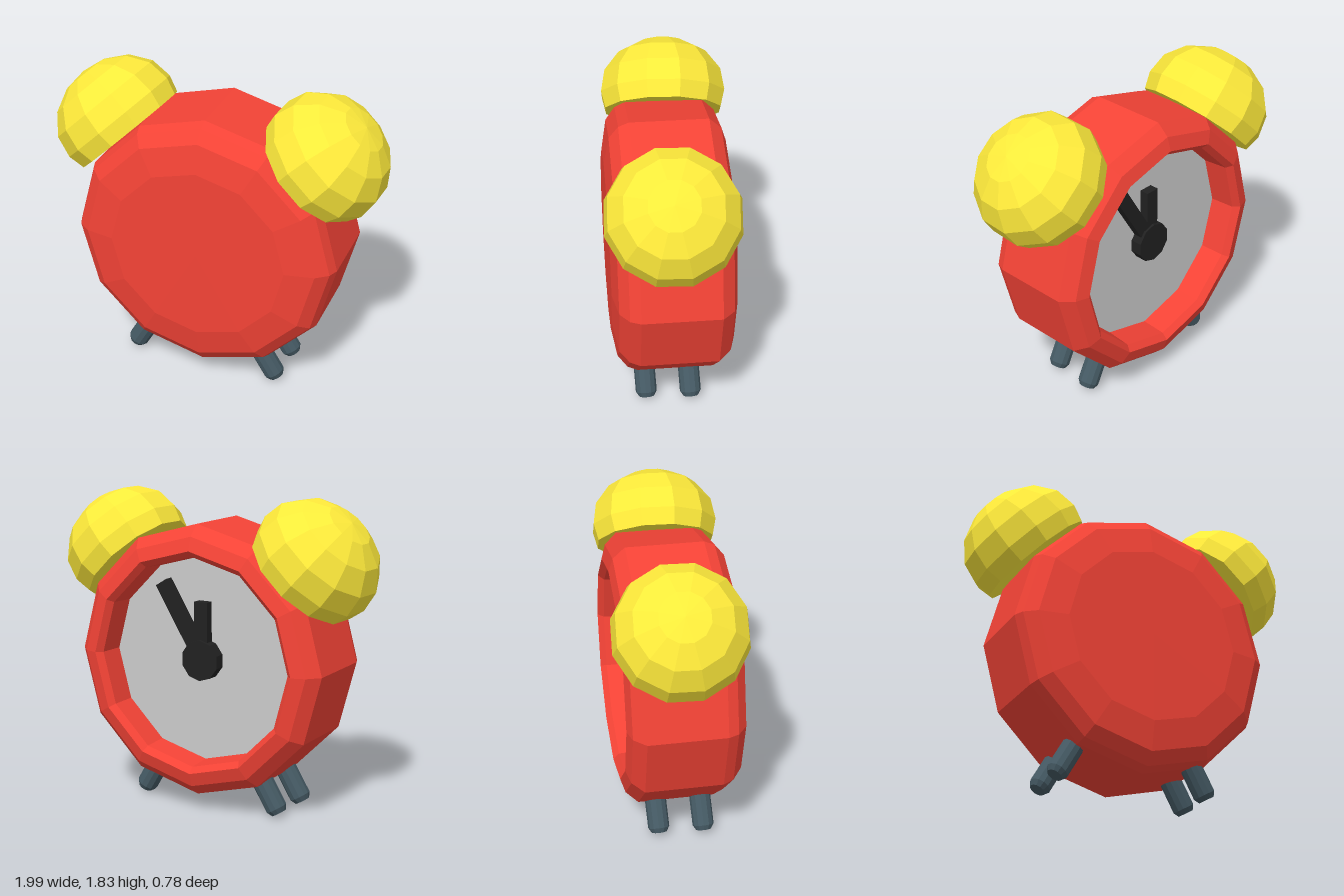
import * as THREE from 'three';

const mat = (color) => new THREE.MeshStandardMaterial({ color, flatShading: true });
const profile = (pts) => pts.map(([r, h]) => new THREE.Vector2(r, h));

function add(parent, name, geometry, material) {
  const mesh = new THREE.Mesh(geometry, material);
  mesh.name = name;
  parent.add(mesh);
  return mesh;
}

export function createModel() {
  const model = new THREE.Group();
  model.name = 'alarmClock';
  const red = mat(0xf44336), yellow = mat(0xffeb3b), steel = mat(0x455a64);
  const black = mat(0x212121), grey = mat(0xcccccc);

  // Clock body, turned slightly; the dial is on the -z side
  const clock = new THREE.Group();
  clock.name = 'clock';
  clock.position.y = 0.89;
  clock.rotation.y = 0.065;
  model.add(clock);

  // Twelve-sided case: recess, rim, drum and domed back
  const caseGeo = new THREE.LatheGeometry(profile([
    [0.605, -0.16], [0.615, -0.31], [0.65, -0.345], [0.73, -0.32], [0.795, -0.25],
    [0.795, 0.2], [0.77, 0.26], [0.7, 0.315], [0.53, 0.347], [0, 0.35],
  ]), 12).rotateX(Math.PI / 2);
  add(clock, 'case', caseGeo, red);

  const dial = add(clock, 'dial', new THREE.CircleGeometry(0.607, 12), grey);
  dial.rotation.y = Math.PI;
  dial.position.z = -0.16;

  // Hub and the two hands
  const hub = add(clock, 'hub', new THREE.CylinderGeometry(0.12, 0.12, 0.08, 10), black);
  hub.rotation.x = Math.PI / 2;
  hub.position.z = -0.19;
  for (const [name, length, angle] of [['minuteHand', 0.51, -0.55], ['hourHand', 0.34, 0]]) {
    const geo = new THREE.BoxGeometry(0.085, length, 0.06).translate(0, length / 2, 0);
    const hand = add(clock, name, geo, black);
    hand.rotation.z = angle;
    hand.position.z = -0.185;
  }

  // Bells: closed domes leaning outwards
  const bellGeo = new THREE.LatheGeometry(profile([
    [0, 0], [0.355, 0], [0.38, 0.1], [0.358, 0.23], [0.27, 0.345], [0.14, 0.415], [0, 0.435],
  ]), 12, Math.PI / 12);
  // Feet: short splayed pegs with bevelled tips
  const footGeo = new THREE.LatheGeometry(profile([
    [0, -0.125], [0.045, -0.125], [0.063, -0.095], [0.063, 0.14], [0, 0.14],
  ]), 12);
  for (const s of [-1, 1]) {
    const bell = add(model, s > 0 ? 'leftBell' : 'rightBell', bellGeo, yellow);
    bell.position.set(s * 0.57, 1.41, -0.016 - s * 0.012);
    bell.rotation.z = -s * 0.765;
    for (const z of [-0.125, 0.14]) {
      const foot = add(model, (s > 0 ? 'left' : 'right') + (z < 0 ? 'DialSideFoot' : 'BackSideFoot'), footGeo, steel);
      foot.position.set(s * 0.405 - 0.02, 0.135, z - s * 0.01);
      foot.rotation.set(s * 0.08, 0, s * Math.PI / 6);
    }
  }
  return model;
}
